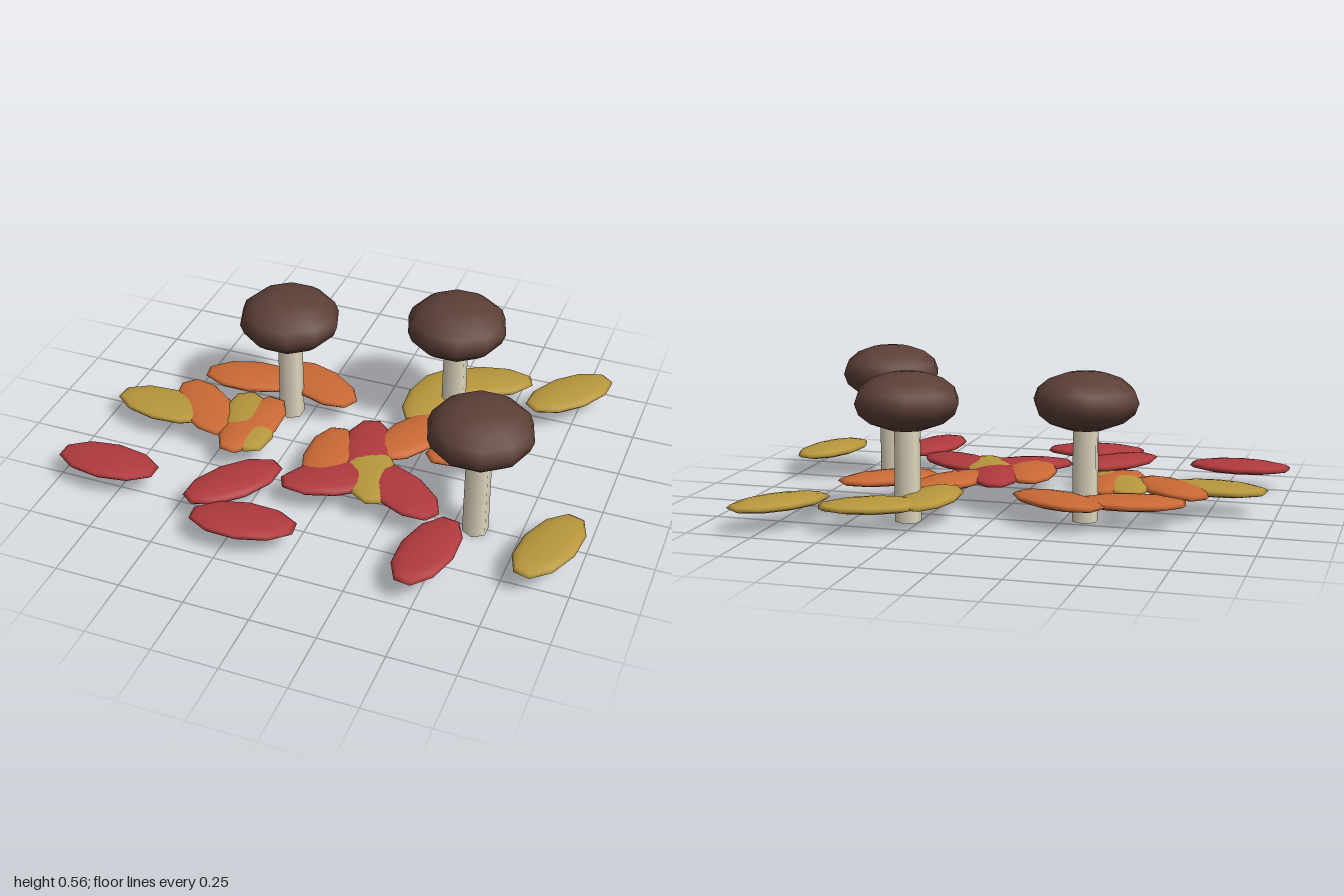
import * as THREE from 'three';

const material = (name, color) => {
  const m = new THREE.MeshStandardMaterial({ color });
  m.name = name;
  return m;
};

export function createModel() {
  const model = new THREE.Group();
  model.name = 'mushroomsAndLeaves';

  const capBrown = material('capBrown', 0x5d4037);
  const stemCream = material('stemCream', 0xe0d8c0);
  const red = material('leafRed', 0xb03a3e);
  const orange = material('leafOrange', 0xcb6a35);
  const yellow = material('leafYellow', 0xb8973c);

  // Mushrooms: hexagonal stem under a squashed ball cap
  const stemGeo = new THREE.CylinderGeometry(0.048, 0.05, 0.4, 6).translate(0, 0.2, 0);
  const capGeo = new THREE.SphereGeometry(0.1975, 10, 8).scale(1, 0.55, 1).translate(0, 0.448, 0);
  for (const [x, z] of [[-0.33, -0.185], [0.295, -0.365], [0.583, 0.26]]) {
    const mushroom = new THREE.Group();
    mushroom.name = 'mushroom';
    const stem = new THREE.Mesh(stemGeo, stemCream);
    stem.name = 'stem';
    const cap = new THREE.Mesh(capGeo, capBrown);
    cap.name = 'cap';
    mushroom.add(stem, cap);
    mushroom.position.set(x, 0, z);
    model.add(mushroom);
  }

  // Leaves: flat ellipsoids lying at one height, long axis along local x
  const leafGeo = new THREE.SphereGeometry(1, 10, 8)
    .scale(0.102, 0.0255, 0.205)
    .rotateY(Math.PI / 2);
  // x, z, and heading in degrees from +x towards +z
  const leaves = [
    [yellow, [
      [-0.77, 0.07, 5], [0.37, -0.53, -22], [0.21, -0.36, 95],
      [0.715, -0.577, -52], [0.885, 0.362, -75], [-0.41, 0.055, 63], [0.14, 0.185, 65],
    ]],
    [orange, [
      [-0.515, -0.235, -9], [-0.25, -0.28, 27], [-0.61, 0.025, 45], [-0.39, 0.068, 97],
      [-0.03, 0.165, 80], [0.22, -0.08, -65], [0.47, -0.095, -40],
    ]],
    [red, [
      [0.09, 0.07, 75], [0.03, 0.275, -27], [0.285, 0.255, 33], [-0.805, 0.478, 0],
      [-0.313, 0.425, -53], [-0.187, 0.622, -7], [0.488, 0.54, -82],
    ]],
  ];
  for (const [mat, spots] of leaves) {
    for (const [x, z, deg] of spots) {
      const leaf = new THREE.Mesh(leafGeo, mat);
      leaf.name = 'leaf';
      leaf.position.set(x, 0.093, z);
      leaf.rotation.y = -THREE.MathUtils.degToRad(deg);
      model.add(leaf);
    }
  }
  return model;
}
